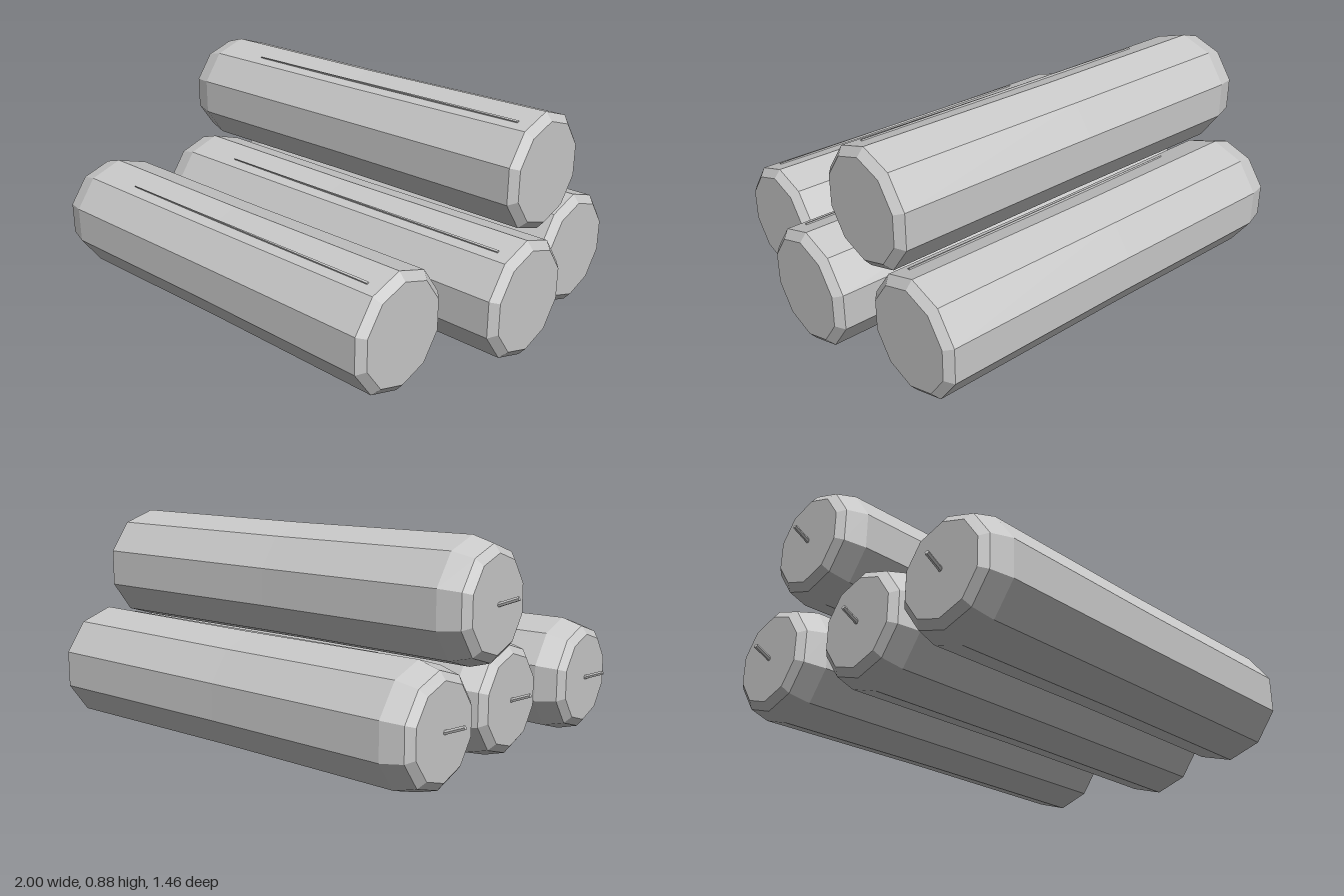
import * as THREE from 'three';

const R = 0.237;

// Hard-edged facets without any material flags
function faceted(geometry) {
  const flat = geometry.index ? geometry.toNonIndexed() : geometry;
  flat.computeVertexNormals();
  return flat;
}

// Ten-sided stick along x: rounded left end, small chamfer on the right, slight waist
function stickGeometry(x0, x1) {
  const profile = [
    [0, x0], [0.18, x0], [0.212, x0 + 0.025], [R, x0 + 0.11],
    [R - 0.004, (x0 + x1) / 2],
    [R, x1 - 0.028], [0.204, x1], [0, x1],
  ].map(([r, y]) => new THREE.Vector2(r, y));
  const g = new THREE.LatheGeometry(profile, 10, Math.PI / 2);
  g.rotateZ(-Math.PI / 2);
  return faceted(g);
}

// Thin sliver that widens to the right, lying on the upper front facet
function sliverGeometry(x0, x1) {
  const shape = new THREE.Shape();
  shape.moveTo(x0, 0);
  shape.lineTo(x1, -0.005);
  shape.lineTo(x1, 0.005);
  shape.closePath();
  const g = new THREE.ExtrudeGeometry(shape, { depth: 0.008, bevelEnabled: false });
  g.rotateX(-Math.PI / 2); // outline in xz, thickness up
  g.translate(0, -0.003, 0);
  g.rotateX(Math.PI / 10); // tilt to the facet slope
  return faceted(g);
}

// Short peg leaning out of the left end
function pegGeometry(x0) {
  const a = new THREE.Vector3(x0 + 0.02, -0.008, -0.003);
  const b = new THREE.Vector3(x0 - 0.072, 0.028, 0.012);
  const path = new THREE.LineCurve3(a, b);
  const g = new THREE.CylinderGeometry(0.009, 0.009, path.getLength(), 6);
  g.applyQuaternion(new THREE.Quaternion().setFromUnitVectors(
    new THREE.Vector3(0, 1, 0), b.clone().sub(a).normalize()));
  const mid = path.getPoint(0.5);
  g.translate(mid.x, mid.y, mid.z);
  return faceted(g);
}

export function createModel() {
  const group = new THREE.Group();
  group.name = 'stickPile';
  const grey = new THREE.MeshStandardMaterial({ color: 0xc8c8c8 });
  grey.name = 'light grey';

  // Left end, right end, centre height, centre depth
  const sticks = [
    ['frontStick', -0.912, 0.813, 0.243, 0.505],
    ['middleStick', -0.853, 0.997, 0.243, 0],
    ['backStick', -0.88, 0.89, 0.243, -0.505],
    ['topStick', -0.927, 0.885, 0.65, -0.25],
  ];

  for (const [name, x0, x1, y, z] of sticks) {
    const stick = new THREE.Group();
    stick.name = name;
    stick.position.set(0, y, z);
    const add = (part, geometry) => {
      const mesh = new THREE.Mesh(geometry, grey);
      mesh.name = part;
      stick.add(mesh);
      return mesh;
    };
    add('body', stickGeometry(x0, x1));
    add('peg', pegGeometry(x0));
    // On the facet, 0.097 forward of the top edge
    add('sliver', sliverGeometry(x0 + 0.35, x1 - 0.085))
      .position.set(0, R - 0.097 * Math.tan(Math.PI / 10), 0.097);
    group.add(stick);
  }
  return group;
}
